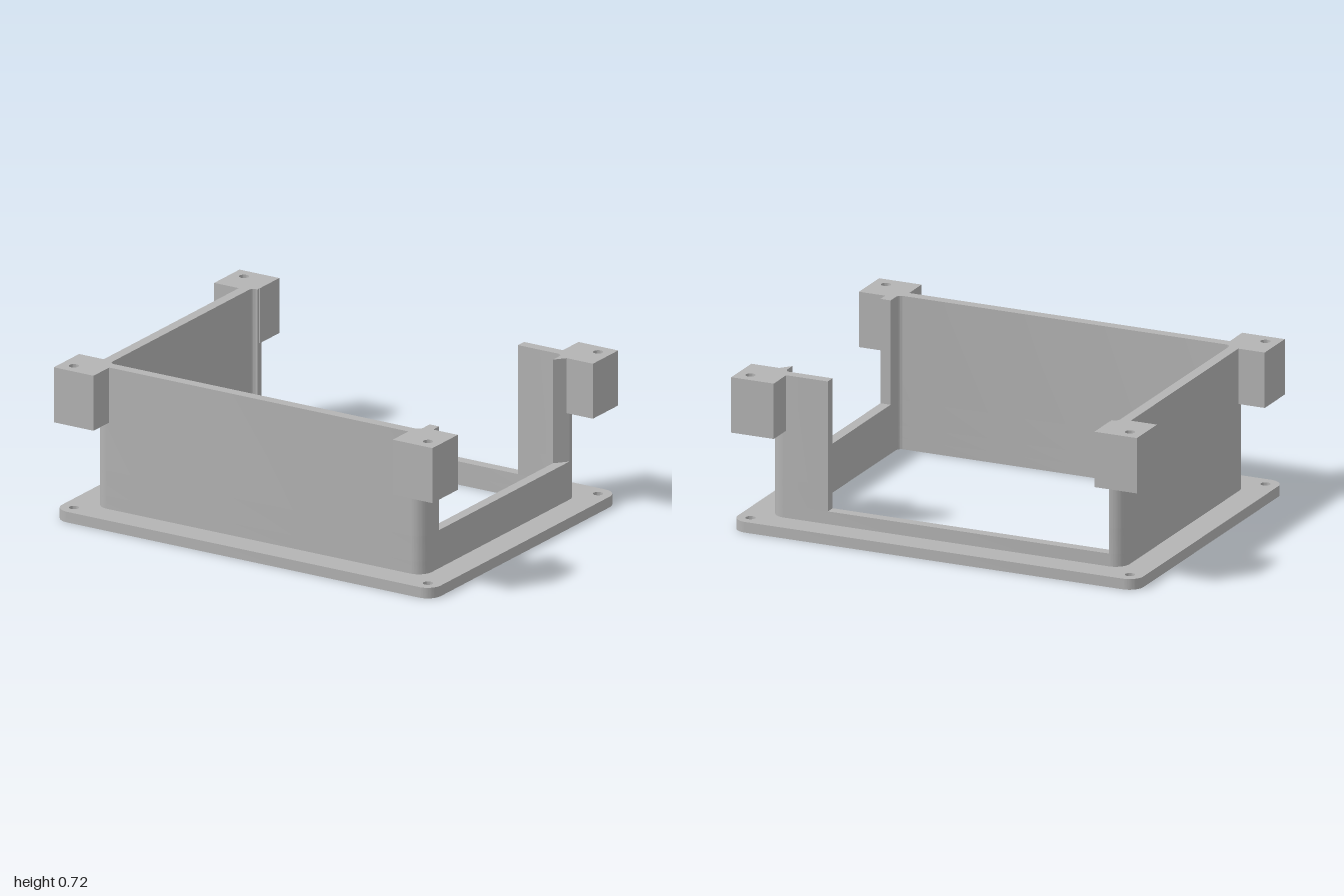
import * as THREE from 'three';
import { toCreasedNormals } from 'three/addons/utils/BufferGeometryUtils.js';

const grey = new THREE.MeshStandardMaterial({ color: 0xb3b3b3 });
grey.name = 'grey plastic';

// Half sizes of the frame, plan view: shape x = x, shape y = -z
const OUTER = { x: 0.87, y: 0.64, r: 0.07 };
const INNER = { x: 0.82, y: 0.59, r: 0.025 };
const PLATE = { x: 1, y: 0.77, r: 0.07 };
const HOLE = { x: 0.935, y: 0.705, r: 0.023 };
const TOP = 0.72, PLATE_TOP = 0.05, BACK_SILL = 0.11, SIDE_SILL = 0.23;
const BLOCK_BOTTOM = 0.46, HOLE_BOTTOM = 0.52;

// Corners in counter-clockwise order: back +x, back -x, front -x, front +x
const CORNERS = [[1, 1], [-1, 1], [-1, -1], [1, -1]];

function cornerArc(path, i, size, reverse = false) {
  const [sx, sy] = CORNERS[i];
  const a = i * Math.PI / 2, b = a + Math.PI / 2;
  path.absarc(sx * (size.x - size.r), sy * (size.y - size.r), size.r,
    reverse ? b : a, reverse ? a : b, reverse);
}

function roundedRect(size, path) {
  [0, 1, 2, 3].forEach(i => cornerArc(path, i, size));
  path.closePath();
  return path;
}

function circle(x, y) {
  return new THREE.Path().absarc(x, y, HOLE.r, 0, Math.PI * 2);
}

// Wall strip that runs round the given corners between two cut ends
function wallStrip(corners, outerStart, outerEnd, innerEnd, innerStart) {
  const s = new THREE.Shape();
  s.moveTo(...outerStart);
  corners.forEach(i => cornerArc(s, i, OUTER));
  s.lineTo(...outerEnd);
  s.lineTo(...innerEnd);
  [...corners].reverse().forEach(i => cornerArc(s, i, INNER, true));
  s.lineTo(...innerStart);
  s.closePath();
  return s;
}

export function createModel() {
  const model = new THREE.Group();
  model.name = 'openFrame';

  // Extrude a plan shape upwards from y0 to y1
  function add(name, shape, y0, y1, parent = model) {
    let g = new THREE.ExtrudeGeometry(shape, { depth: y1 - y0, bevelEnabled: false, curveSegments: 10 });
    g.rotateX(-Math.PI / 2);
    g.translate(0, y0, 0);
    g = toCreasedNormals(g, 0.7);
    const mesh = new THREE.Mesh(g, grey);
    mesh.name = name;
    parent.add(mesh);
  }

  // Base flange with the large opening and four screw holes
  const plate = roundedRect(PLATE, new THREE.Shape());
  plate.holes.push(roundedRect(INNER, new THREE.Path()));
  CORNERS.forEach(([sx, sy]) => plate.holes.push(circle(sx * HOLE.x, sy * HOLE.y)));
  add('baseFlange', plate, 0, PLATE_TOP);

  // Closed ring up to the sill of the back opening
  const ring = roundedRect(OUTER, new THREE.Shape());
  ring.holes.push(roundedRect(INNER, new THREE.Path()));
  add('lowerWall', ring, PLATE_TOP, BACK_SILL);

  // Wall open at the back, up to the sill of the side opening
  const backA = -0.79, backB = 0.585, side = 0.51;
  add('middleWall', wallStrip([1, 2, 3, 0],
    [backA, OUTER.y], [backB, OUTER.y], [backB, INNER.y], [backA, INNER.y]), BACK_SILL, SIDE_SILL);

  // Upper walls and the free-standing corner post between the openings
  add('upperWall', wallStrip([1, 2, 3],
    [backA, OUTER.y], [OUTER.x, -side], [INNER.x, -side], [backA, INNER.y]), SIDE_SILL, TOP);
  add('cornerPost', wallStrip([0],
    [OUTER.x, side], [backB, OUTER.y], [backB, INNER.y], [INNER.x, side]), SIDE_SILL, TOP);

  // Corner mounting blocks with blind screw holes
  const outline = [[0.79, 0.61], [0.79, 0.77], [1, 0.77], [1, 0.56], [0.84, 0.56], [0.84, 0.61]];
  CORNERS.forEach(([sx, sy]) => {
    const block = new THREE.Group();
    block.name = 'mountingBlock';
    model.add(block);
    const makeShape = () => new THREE.Shape(outline.map(([x, y]) => new THREE.Vector2(sx * x, sy * y)));
    add('blockBottom', makeShape(), BLOCK_BOTTOM, HOLE_BOTTOM, block);
    const upper = makeShape();
    upper.holes.push(circle(sx * HOLE.x, sy * HOLE.y));
    add('blockTop', upper, HOLE_BOTTOM, TOP, block);
  });

  return model;
}
